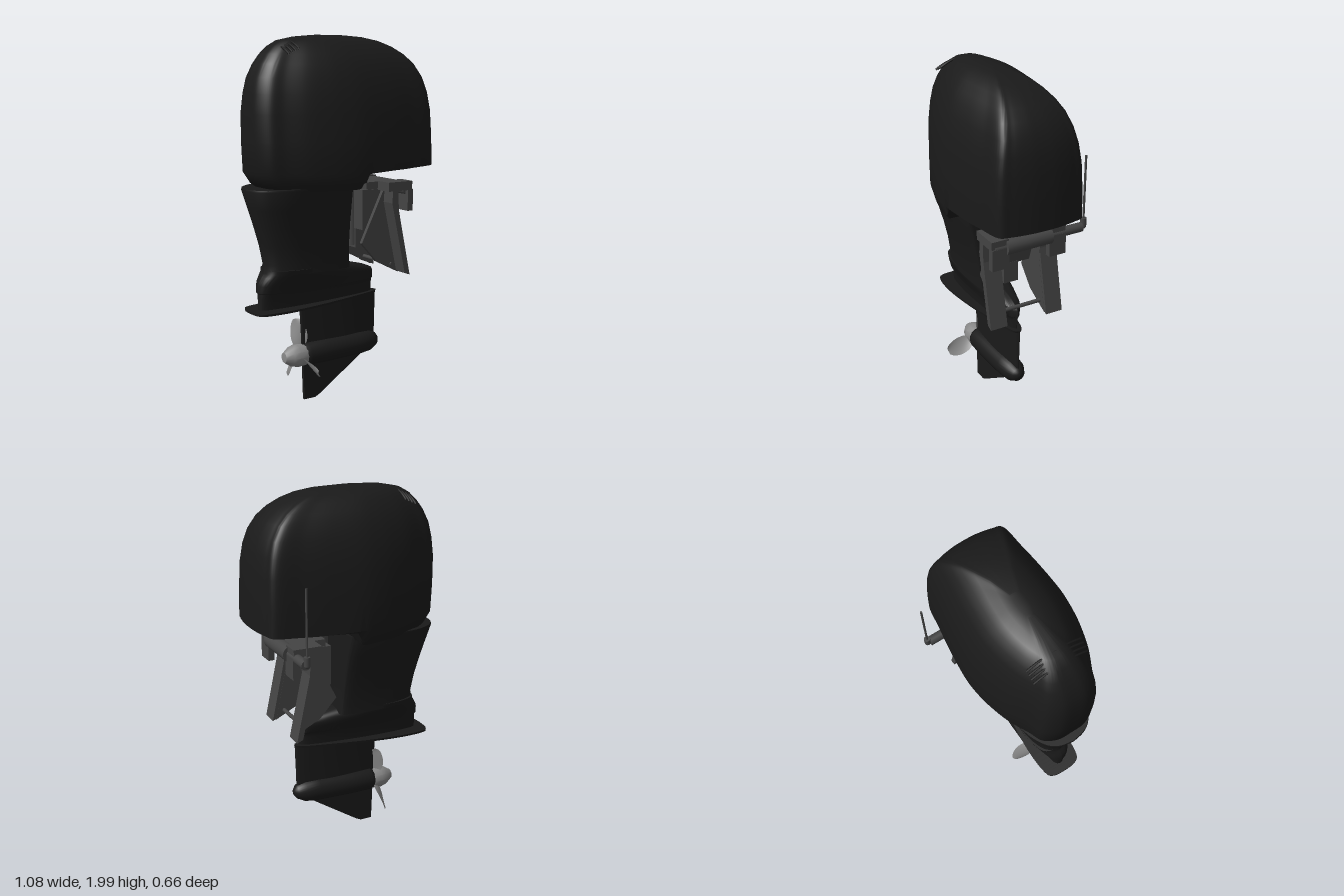
import * as THREE from 'three';
import { toCreasedNormals } from 'three/addons/utils/BufferGeometryUtils.js';

const ZC = 0.03; // centre plane of the motor
const black = new THREE.MeshStandardMaterial({ color: 0x1a1a1a, side: THREE.DoubleSide });
const grey = new THREE.MeshStandardMaterial({ color: 0x444444 });
const steel = new THREE.MeshStandardMaterial({ color: 0x888888, side: THREE.DoubleSide });

// Stack of horizontal rings: levels are [y, xBack, xFront, halfWidth], plan is [x, halfWidth] points
function loft(levels, plan, bend = (x, y) => y, n = 48) {
  const curve = new THREE.SplineCurve(plan.map(p => new THREE.Vector2(...p)));
  const pts = curve.getPoints(n - 1);
  const x0 = plan[0][0], x1 = plan[plan.length - 1][0], wMax = Math.max(...plan.map(p => p[1]));
  const pos = [], idx = [], ring = 2 * n;
  for (const [y, xa, xb, w] of levels) {
    for (let i = 0; i < ring; i++) {
      const p = pts[i < n ? i : ring - 1 - i];
      const x = xa + (xb - xa) * (p.x - x0) / (x1 - x0);
      const z = w * Math.max(0, p.y) / wMax;
      pos.push(x, bend(x, y), ZC + (i < n ? z : -z));
    }
  }
  const quad = (a, b, c, d) => idx.push(a, b, c, a, c, d);
  for (let l = 0; l < levels.length - 1; l++)
    for (let i = 0; i < ring; i++) {
      const a = l * ring + i, b = l * ring + (i + 1) % ring;
      quad(a, b, b + ring, a + ring);
    }
  const top = (levels.length - 1) * ring;
  for (let i = 0; i < n - 1; i++) {
    const m = ring - 1 - i;
    quad(m, m - 1, i + 1, i);
    quad(top + i, top + i + 1, top + m - 1, top + m);
  }
  const g = new THREE.BufferGeometry();
  g.setAttribute('position', new THREE.Float32BufferAttribute(pos, 3));
  g.setIndex(idx);
  return toCreasedNormals(g, 0.7);
}

// Flat profile in x-y with thickness along z
function slab(points, depth) {
  const shape = new THREE.Shape(points.map(p => new THREE.Vector2(...p)));
  return new THREE.ExtrudeGeometry(shape, { depth, bevelEnabled: false }).translate(0, 0, -depth / 2);
}

export function createModel() {
  const root = new THREE.Group();
  const add = (name, geo, mat, x = 0, y = 0, z = 0, parent = root) => {
    const m = new THREE.Mesh(geo, mat);
    m.name = name;
    m.position.set(x, y, z);
    parent.add(m);
    return m;
  };
  const box = (w, h, d) => new THREE.BoxGeometry(w, h, d);
  const rodZ = (r, len) => new THREE.CylinderGeometry(r, r, len, 20).rotateX(Math.PI / 2);

  // Engine cowl with a raised underside at the front
  const cowlLevels = [
    [1.2, -0.43, 0.53, 0.27], [1.23, -0.47, 0.535, 0.29], [1.29, -0.51, 0.537, 0.3],
    [1.45, -0.518, 0.533, 0.298], [1.6, -0.52, 0.527, 0.288], [1.7, -0.51, 0.512, 0.272],
    [1.78, -0.493, 0.487, 0.25], [1.85, -0.46, 0.443, 0.222], [1.9, -0.425, 0.39, 0.19],
    [1.94, -0.385, 0.325, 0.155], [1.97, -0.335, 0.25, 0.12], [1.99, -0.24, 0.16, 0.075],
    [2.0, -0.12, 0.04, 0.03]];
  const cowlPlan = [[-0.52, 0], [-0.515, 0.08], [-0.475, 0.15], [-0.4, 0.185], [-0.3, 0.235],
    [-0.2, 0.268], [-0.1, 0.29], [0.02, 0.3], [0.2, 0.287], [0.35, 0.267], [0.49, 0.245],
    [0.52, 0.18], [0.537, 0.08], [0.54, 0]];
  const floor = x => 1.2 + 0.08 * THREE.MathUtils.smoothstep(x, 0, 0.05) + 0.02 * Math.max(0, x) / 0.54;
  add('cowl', loft(cowlLevels, cowlPlan, (x, y) => Math.max(y, floor(x)), 90), black);

  // Vent slats bowed over the upper back of the cowl
  for (let k = 0; k < 4; k++) {
    const x = -0.36 + k * 0.02, crown = 1.945 + k * 0.009;
    const pts = [];
    for (let i = -4; i <= 4; i++) pts.push(new THREE.Vector3(x, crown - 0.045 * (i / 4) ** 2, ZC + i * 0.037));
    add('ventSlat', new THREE.TubeGeometry(new THREE.CatmullRomCurve3(pts), 20, 0.006, 6), black);
  }

  // Midsection, rounded at the back and blunt at the front
  const midPlan = [[0, 0], [0.03, 0.4], [0.12, 0.7], [0.3, 0.93], [0.55, 1], [0.8, 0.98], [0.95, 0.9], [0.99, 0.7], [1, 0]];
  add('midsection', loft([
    [0.75, -0.44, 0.058, 0.12], [0.8, -0.43, 0.053, 0.12], [0.9, -0.45, 0.048, 0.13], [1.0, -0.478, 0.044, 0.148],
    [1.1, -0.508, 0.04, 0.172], [1.2, -0.538, 0.035, 0.2], [1.21, -0.535, 0.035, 0.2]],
    midPlan, (x, y) => y + (y > 1.15 ? 0.02 * (x + 0.54) : 0)), black);

  // Skirt that spreads forward over the lower unit
  const hullPlan = [[0, 0], [0.02, 0.5], [0.1, 0.8], [0.3, 1], [0.55, 0.95], [0.8, 0.7], [0.95, 0.4], [1, 0]];
  add('skirt', loft([
    [0.55, -0.47, 0.26, 0.05], [0.62, -0.47, 0.262, 0.055], [0.645, -0.468, 0.265, 0.065], [0.65, -0.475, 0.272, 0.075],
    [0.69, -0.472, 0.272, 0.09], [0.71, -0.465, 0.26, 0.1], [0.735, -0.45, 0.2, 0.11],
    [0.755, -0.435, 0.12, 0.118], [0.775, -0.43, 0.055, 0.12]], hullPlan), black);
  add('cavitationPlate', loft([[0.557, -0.52, 0.29, 0.118], [0.569, -0.52, 0.295, 0.12]],
    [[0, 0], [0.01, 0.6], [0.06, 0.9], [0.25, 1], [0.5, 0.85], [0.8, 0.5], [0.96, 0.25], [1, 0]],
    (x, y) => y + 0.022 * x), black);

  // Lower leg, torpedo housing and skeg
  const foil = [[0, 0], [0.03, 0.3], [0.3, 0.8], [0.6, 1], [0.85, 0.75], [0.97, 0.35], [1, 0]];
  add('lowerLeg', loft([[0.26, -0.2, 0.285, 0.03], [0.4, -0.205, 0.287, 0.03], [0.57, -0.215, 0.292, 0.035]], foil), black);
  const torpedo = [[0, -0.2], [0.055, -0.2], [0.066, -0.17], [0.07, -0.05], [0.07, 0.16], [0.062, 0.24], [0.04, 0.285], [0.018, 0.302], [0, 0.305]];
  add('gearHousing', new THREE.LatheGeometry(torpedo.map(p => new THREE.Vector2(...p)), 28).rotateZ(-Math.PI / 2),
    black, 0, 0.275, ZC).rotation.z = 0.03;
  add('skeg', slab([[-0.2, 0.3], [-0.19, 0.01], [-0.12, 0.01], [-0.09, 0.025], [0.18, 0.205], [0.24, 0.26]], 0.018), black, 0, 0, ZC);

  // Propeller with three twisted blades
  const prop = new THREE.Group();
  prop.name = 'propeller';
  prop.position.set(-0.2, 0.268, ZC);
  root.add(prop);
  const hub = [[0, -0.118], [0.028, -0.115], [0.055, -0.075], [0.064, -0.04], [0.06, 0.01], [0, 0.01]];
  add('hub', toCreasedNormals(new THREE.LatheGeometry(hub.map(p => new THREE.Vector2(...p)), 12).rotateZ(-Math.PI / 2), 0.6),
    steel, 0, 0, 0, prop);
  for (let k = 0; k < 3; k++) {
    const g = new THREE.PlaneGeometry(1, 1, 8, 12);
    const p = g.attributes.position;
    for (let i = 0; i < p.count; i++) {
      const t = p.getY(i) + 0.5, s = p.getX(i);
      const chord = 0.1 * Math.sqrt(Math.max(0, 1 - ((t - 0.5) / 0.55) ** 2)) * s;
      const pitch = 0.9 - 0.5 * t;
      p.setXYZ(i, chord * Math.sin(pitch) - 0.015 + 0.03 * s * s, 0.04 + 0.16 * t, chord * Math.cos(pitch) + 0.03 * t * (1 - t));
    }
    g.computeVertexNormals();
    add('blade', g, steel, 0, 0, 0, prop).rotation.x = -0.25 + k * Math.PI * 2 / 3;
  }

  // Swivel post and centre block
  add('swivelPost', new THREE.CylinderGeometry(0.036, 0.036, 0.43, 20), grey, 0.125, 1.07, ZC).rotation.z = 0.02;
  add('postCap', new THREE.CylinderGeometry(0.026, 0.026, 0.03, 16), grey, 0.12, 1.285, ZC);
  add('swivelBlock', slab([[0.12, 0.95], [0.19, 0.95], [0.24, 1.1], [0.24, 1.17], [0.12, 1.17]], 0.23), grey, 0, 0, ZC);
  add('tiltRam', box(0.07, 0.12, 0.085), grey, 0.16, 0.9, ZC);
  add('pivotArm', box(0.2, 0.05, 0.22), grey, 0.25, 1.185, ZC);

  // Clamp brackets mirrored about the centre plane
  for (const s of [1, -1]) {
    const bracket = new THREE.Group();
    bracket.name = s > 0 ? 'leftClampBracket' : 'rightClampBracket';
    bracket.position.z = ZC;
    root.add(bracket);
    add('sidePlate', slab([[0.1, 0.88], [0.2, 0.77], [0.35, 0.695], [0.285, 1.0], [0.29, 1.16], [0.24, 1.16]], 0.022),
      grey, 0, 0, s * 0.13, bracket);
    add('transomPad', slab([[0.37, 0.69], [0.335, 0.705], [0.245, 1.1], [0.25, 1.17], [0.285, 1.17], [0.29, 1.06]], 0.1),
      grey, 0, 0, s * 0.17, bracket);
    add('topPlate', box(0.16, 0.05, 0.1), grey, 0.3, 1.19, s * 0.17, bracket);
    add('hook', box(0.035, 0.12, 0.1), grey, 0.368, 1.11, s * 0.17, bracket);
  }
  add('tiltTube', rodZ(0.045, 0.27), grey, 0.36, 1.165, ZC);
  add('tiltTubeCore', rodZ(0.026, 0.53), grey, 0.36, 1.165, -0.035);
  add('crossRod', rodZ(0.011, 0.3), grey, 0.3, 0.745, ZC);

  // Steering rod standing at the side of the tilt tube
  add('rodJoint', new THREE.CylinderGeometry(0.017, 0.017, 0.05, 16), grey, 0.36, 1.19, -0.313);
  add('rodBall', new THREE.SphereGeometry(0.017, 16, 12), grey, 0.36, 1.17, -0.313);
  add('steeringRod', new THREE.CylinderGeometry(0.006, 0.006, 0.38, 10), grey, 0.36, 1.38, -0.313);
  add('cowlLatch', new THREE.CylinderGeometry(0.015, 0.015, 0.03, 16), grey, 0.435, 1.285, ZC);

  return root;
}
